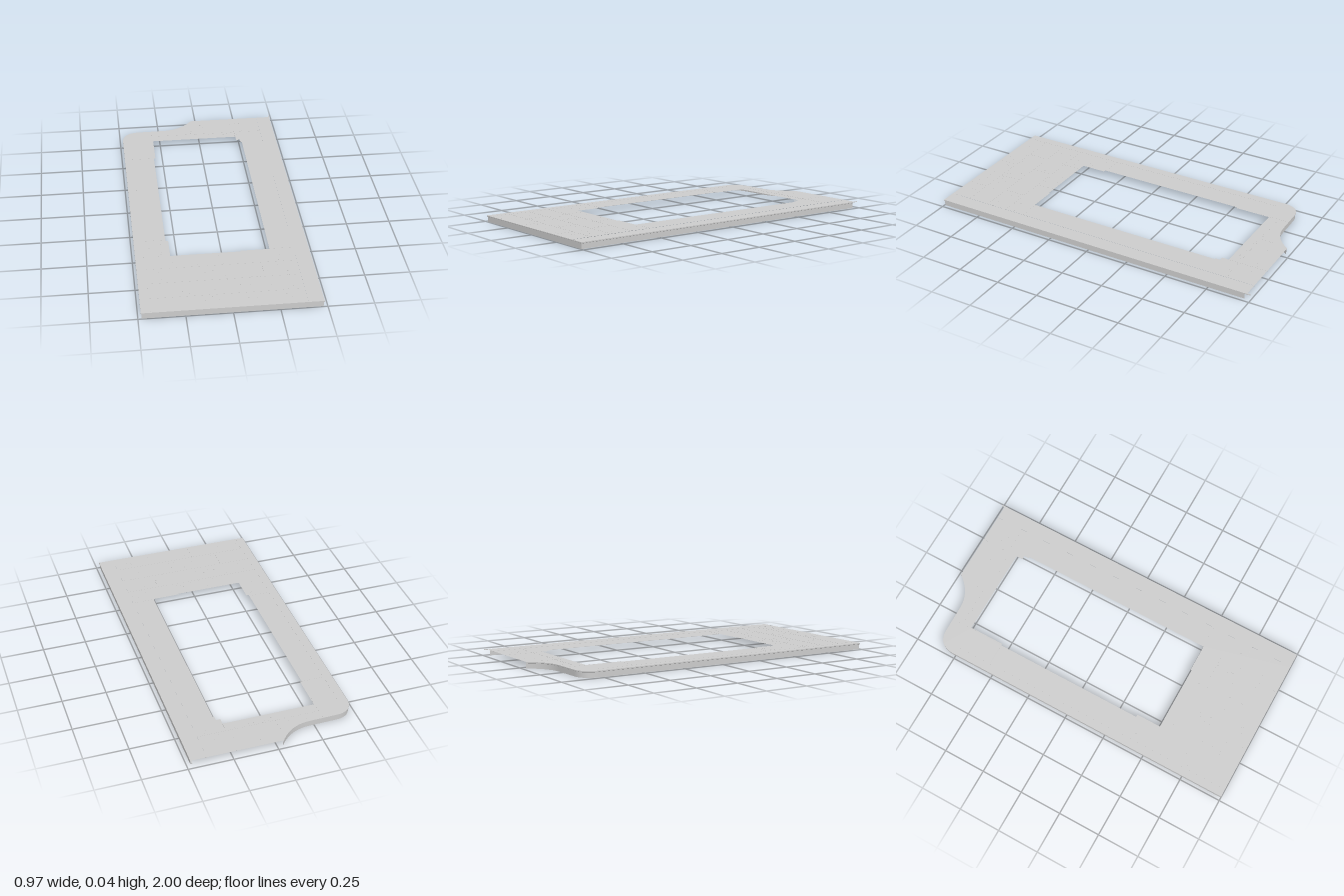
import * as THREE from 'three';
import { mergeGeometries, toCreasedNormals } from 'three/addons/utils/BufferGeometryUtils.js';

const TOP = 0.037, SEAM = 0.395, GAP = 0.003;
const material = new THREE.MeshStandardMaterial({ color: 0xcccccc, side: THREE.DoubleSide });
const v = (x, z) => new THREE.Vector2(x, z);

function add(group, name, geometry) {
  const mesh = new THREE.Mesh(geometry, material);
  mesh.name = name;
  group.add(mesh);
}

// Flat sheet at the top level from [x, z] points
function sheet(points, hole) {
  const flip = (list) => list.map((p) => v(p.x, -p.y));
  const shape = new THREE.Shape(flip(points));
  if (hole) shape.holes.push(new THREE.Path(flip(hole)));
  return new THREE.ShapeGeometry(shape).rotateX(-Math.PI / 2).translate(0, TOP, 0);
}

// Box covering x0..x1, z0..z1 with its top at the given height
function slabBox(x0, x1, z0, z1, top, h) {
  return new THREE.BoxGeometry(x1 - x0, h, z1 - z0).translate((x0 + x1) / 2, top - h / 2, (z0 + z1) / 2);
}

// Outer edge: S-curve and rounded corner at the back, then round the long sides
function edgePath() {
  const path = new THREE.Path();
  path.moveTo(-0.035, -0.98);
  path.quadraticCurveTo(-0.11, -0.876, -0.22, -0.874);
  path.lineTo(-0.385, -0.871);
  path.bezierCurveTo(-0.445, -0.87, -0.484, -0.83, -0.484, -0.77);
  path.lineTo(-0.484, 1);
  path.lineTo(0.482, 1);
  path.lineTo(0.482, -0.965);
  return path.getPoints(14);
}

// Skirt wall with a small overhanging lip, swept along the edge
function skirt(points) {
  const profile = [[0.004, 0], [0.004, 0.029], [0, 0.031], [0, TOP]]; // inset, height
  const positions = [], index = [], n = profile.length;
  points.forEach((p, i) => {
    const before = p.clone().sub(points[Math.max(i - 1, 0)]).normalize();
    const after = points[Math.min(i + 1, points.length - 1)].clone().sub(p).normalize();
    const a = v(before.y, -before.x), b = v(after.y, -after.x);
    const inward = a.clone().add(b).normalize();
    const scale = 1 / Math.max(inward.dot(a.lengthSq() ? a : b), 0.3);
    for (const [inset, y] of profile) {
      positions.push(p.x + inward.x * inset * scale, y, p.y + inward.y * inset * scale);
    }
    if (!i) return;
    for (let j = 0; j < n - 1; j++) {
      const k = (i - 1) * n + j;
      index.push(k, k + n, k + 1, k + 1, k + n, k + n + 1);
    }
  });
  const g = new THREE.BufferGeometry();
  g.setAttribute('position', new THREE.Float32BufferAttribute(positions, 3));
  g.setIndex(index);
  return toCreasedNormals(g, 0.6);
}

export function createModel() {
  const group = new THREE.Group();
  group.name = 'pavement';
  const edge = edgePath();

  // Paved area with the stepped rectangular opening
  const opening = [
    [-0.295, -0.75], [0.23, -0.75], [0.23, -0.71], [0.255, -0.71], [0.255, -0.68], [0.263, -0.68],
    [0.263, 0.5], [0.1, 0.5], [0.1, 0.507], [-0.29, 0.507], [-0.29, 0.36], [-0.305, 0.36],
    [-0.305, -0.54], [-0.295, -0.54],
  ].map(([x, z]) => v(x, z));
  const outline = edge.slice(0, -2);
  outline.push(v(SEAM - GAP, 1), v(SEAM - GAP, -0.98));
  add(group, 'paving', sheet(outline, opening));

  // Kerb strip along the left side and the recessed seam beside it
  add(group, 'kerbTop', sheet([
    v(SEAM + GAP, -0.98), v(SEAM + GAP, 1), v(0.482, 1), v(0.482, -0.98),
  ]));
  add(group, 'kerbSeam', slabBox(SEAM - GAP, SEAM + GAP, -0.98, 1, TOP - 0.001, 0.003));

  // Skirt and the sliver left standing out at the back corner
  add(group, 'skirt', skirt(edge));
  add(group, 'cornerSliver', slabBox(0.477, 0.483, -1, -0.96, TOP + 0.001, 0.004));

  // Joints between the slabs: [x0, z0, x1, z1]
  const joints = [
    [0.263, 0.497, 0.392, 0.497], [-0.3, -0.868, -0.3, -0.7],
    [-0.43, -0.54, -0.305, -0.54], [-0.43, 0.35, -0.305, 0.35],
    [-0.435, -0.75, -0.435, 0.99], [-0.43, 0.62, 0.392, 0.62],
    [-0.43, 0.75, 0.392, 0.75], [-0.43, 0.88, 0.392, 0.88],
    [-0.24, 0.507, -0.24, 0.62], [0.05, 0.507, 0.05, 0.62],
    [-0.1, 0.62, -0.1, 0.75], [0.2, 0.62, 0.2, 0.75],
    [-0.25, 0.75, -0.25, 0.88], [0.06, 0.75, 0.06, 0.88],
    [-0.1, 0.88, -0.1, 0.99], [0.22, 0.88, 0.22, 0.99],
    [-0.3, -0.81, 0.392, -0.81], [-0.05, -0.89, -0.05, -0.81], [0.23, -0.98, 0.23, -0.75],
  ];
  add(group, 'slabJoints', mergeGeometries(joints.map(([x0, z0, x1, z1]) =>
    slabBox(x0 - 0.001, x1 + 0.001, z0 - 0.001, z1 + 0.001, TOP + 0.0006, 0.0016))));

  // Small worn chips scattered over the slabs
  let seed = 7;
  const random = () => (seed = (seed * 16807) % 2147483647) / 2147483647;
  const chips = [];
  for (const [x0, x1, z0, z1, count] of [
    [-0.42, 0.38, 0.53, 0.98, 110], [-0.42, -0.32, 0.37, 0.53, 12],
    [0.0, 0.38, -0.94, -0.77, 35], [-0.27, 0.0, -0.85, -0.77, 12],
  ]) {
    for (let i = 0; i < count; i++) {
      const x = x0 + random() * (x1 - x0), z = z0 + random() * (z1 - z0);
      chips.push(slabBox(x, x + 0.003 + random() * 0.006, z, z + 0.003, TOP + 0.0007, 0.0015));
    }
  }
  add(group, 'wornChips', mergeGeometries(chips));
  return group;
}
